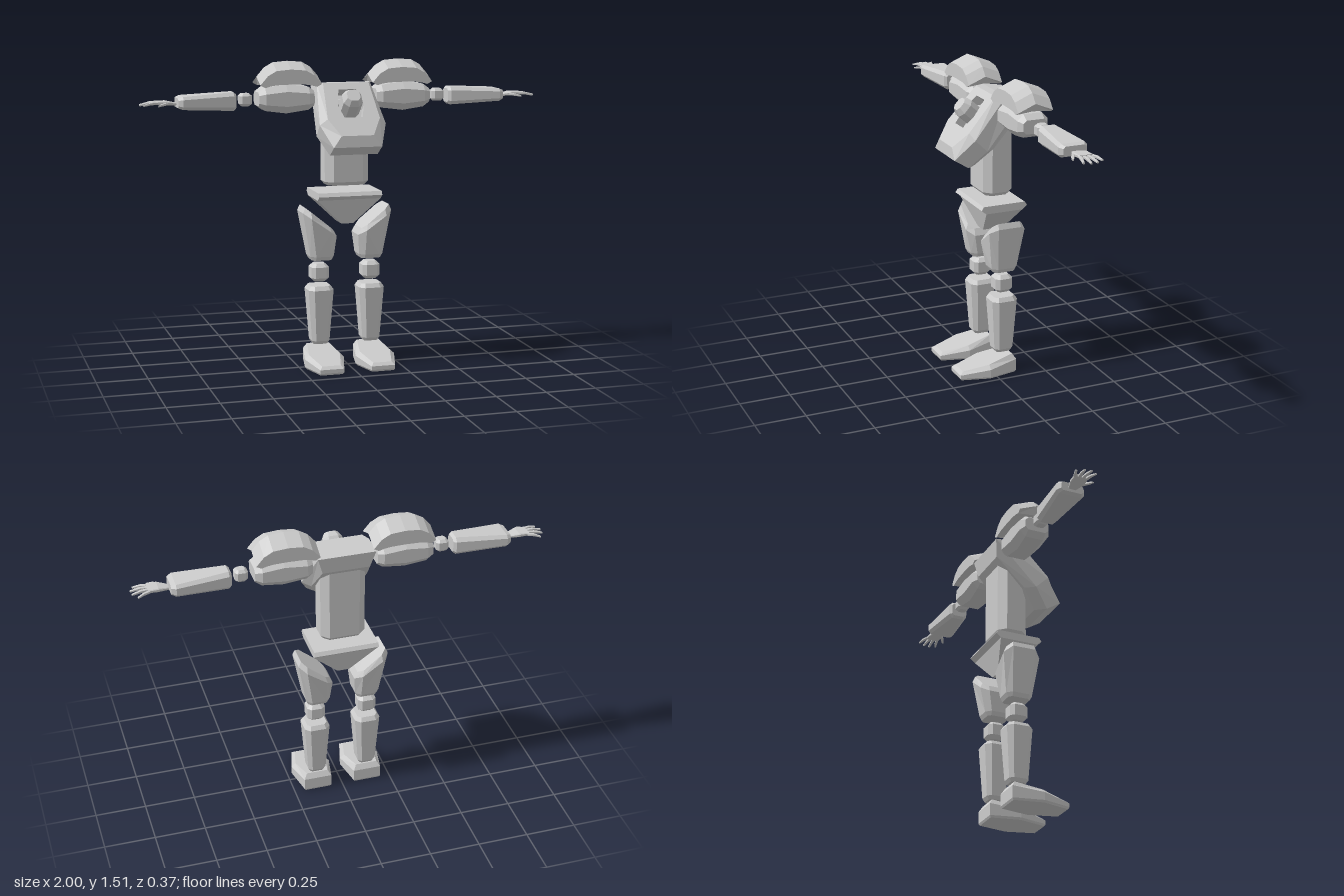
import * as THREE from 'three';

const material = new THREE.MeshStandardMaterial({ color: 0xcccccc, flatShading: true });

// Closed solid through rings of equal point count; s = -1 mirrors it across x.
function loft(name, rings, s = 1) {
  const R = rings.map(r => r.map(([x, y, z]) => new THREE.Vector3(x * s, y, z)));
  const n = R[0].length, last = R[R.length - 1], tris = [];
  for (let i = 0; i + 1 < R.length; i++) {
    for (let j = 0; j < n; j++) {
      const k = (j + 1) % n;
      tris.push([R[i][j], R[i + 1][j], R[i + 1][k]], [R[i][j], R[i + 1][k], R[i][k]]);
    }
  }
  // end caps fan out from the second point
  for (let j = 1; j < n - 1; j++) {
    const a = (1 + j) % n, b = (2 + j) % n;
    tris.push([R[0][1], R[0][a], R[0][b]], [last[1], last[b], last[a]]);
  }
  // face outwards
  const cross = new THREE.Vector3();
  const volume = tris.reduce((v, [a, b, c]) => v + a.dot(cross.crossVectors(b, c)), 0);
  if (volume < 0) tris.forEach(t => t.reverse());
  const geometry = new THREE.BufferGeometry().setFromPoints(tris.flat());
  geometry.computeVertexNormals();
  const mesh = new THREE.Mesh(geometry, material);
  mesh.name = name;
  return mesh;
}

// Rectangle with cut corners
function octagon(hu, hv, c) {
  return [[hu, hv - c], [hu - c, hv], [c - hu, hv], [-hu, hv - c],
    [-hu, c - hv], [c - hu, -hv], [hu - c, -hv], [hu, c - hv]];
}

// Upright block: sections are [y, x, z, halfX, halfZ, cut, rise across x]
const upright = (name, sections, s) => loft(name, sections.map(([y, x, z, hx, hz, c, rise = 0]) =>
  octagon(hx, hz, c).map(([u, v]) => [x + u, y + rise * u / hx, z + v])), s);

// Sideways block: sections are [x, y, z, halfY, halfZ, cut]
const sideways = (name, sections, s) => loft(name, sections.map(([x, y, z, hy, hz, c]) =>
  octagon(hy, hz, c).map(([u, v]) => [x, y + u, z + v])), s);

function joint(name, x, y, z, h, s) {
  const c = h * 0.4, i = h - c;
  return upright(name, [[y - h, x, z, i, i, c / 2], [y - i, x, z, h, h, c],
    [y + i, x, z, h, h, c], [y + h, x, z, i, i, c / 2]], s);
}

// Slanted chest with a pocket, and the small head standing in it
function addChest(group) {
  const N = [0.666, 0.746]; // y and z of the slanted face normal
  const ring = points => [
    ...points.map(([x, y, z]) => [x, y, z]),
    ...points.slice().reverse().map(([x, y, z]) => [-x, y, z])];
  const onFace = (x, y, depth = 0) =>
    [x, y - depth * N[0], (0.909 - N[0] * y) / N[1] - depth * N[1]];
  const hole = [[0.045, 1.37], [0.065, 1.3], [0.045, 1.245]];
  group.add(loft('chest', [
    ring(hole.map(([x, y]) => onFace(x, y, 0.05))),
    ring(hole.map(([x, y]) => onFace(x, y))),
    ring([[0.115, 1.4], [0.13, 1.24], [0.08, 1.165]].map(([x, y]) => onFace(x, y))),
    ring([[0.135, 1.4, -0.076], [0.165, 1.21, 0.094], [0.12, 1.11, 0.183]]),
    ring([[0.14, 1.385, -0.175], [0.165, 1.15, 0.032], [0.12, 1.065, 0.11]]),
    ring([[0.115, 1.3, -0.16], [0.13, 1.15, -0.016], [0.08, 1.065, 0.06]]),
  ]));
  const center = onFace(0, 1.305);
  group.add(loft('head', [[-0.06, 0.048], [0.04, 0.048], [0.07, 0.032]].map(([d, h]) =>
    octagon(h, h, h * 0.5).map(([u, v]) =>
      [u, center[1] + v * N[1] + d * N[0], center[2] - v * N[0] + d * N[1]]))));
}

function makeLeg(s) {
  const leg = new THREE.Group();
  leg.name = s > 0 ? 'leftLeg' : 'rightLeg';
  const z = -0.06;
  leg.add(upright('thigh', [
    [0.53, 0.125, z, 0.05, 0.055, 0.015],
    [0.55, 0.125, z, 0.06, 0.067, 0.025],
    [0.71, 0.14, z, 0.085, 0.094, 0.035, 0.06],
    [0.74, 0.143, z, 0.07, 0.08, 0.025, 0.057]], s));
  leg.add(joint('knee', 0.131, 0.465, z, 0.045, s));
  leg.add(upright('shin', [
    [0.105, 0.13, z, 0.035, 0.037, 0.01],
    [0.122, 0.13, z, 0.045, 0.049, 0.018],
    [0.38, 0.13, z, 0.064, 0.066, 0.025],
    [0.4, 0.13, z, 0.05, 0.052, 0.016]], s));

  // foot: a hexagon with its top sloping down to the toe
  const sole = [[0.07, -0.11], [0.1, 0.04], [0.06, 0.185],
    [-0.06, 0.185], [-0.1, 0.04], [-0.07, -0.11]];
  const footRing = (scale, heelY, toeY) => sole.map(([x, fz]) =>
    [0.13 + x * scale, heelY + (toeY - heelY) * (fz + 0.11) / 0.295, 0.037 + (fz - 0.037) * (scale + 1) / 2]);
  leg.add(loft('foot', [footRing(0.92, 0, 0), footRing(1, 0.01, 0.01),
    footRing(1, 0.07, 0.028), footRing(0.78, 0.096, 0.042)], s));
  return leg;
}

function makeArm(s) {
  const arm = new THREE.Group();
  arm.name = s > 0 ? 'leftArm' : 'rightArm';
  const z = -0.088;
  arm.add(sideways('upperArm', [
    [0.157, 1.328, z, 0.037, 0.06, 0.015],
    [0.185, 1.328, z, 0.056, 0.077, 0.03],
    [0.295, 1.328, z, 0.071, 0.077, 0.035],
    [0.4, 1.328, z, 0.056, 0.077, 0.03],
    [0.432, 1.328, z, 0.033, 0.06, 0.015]], s));

  // arched shoulder shell: [outer x, outer y, inner x, inner y]
  const arch = [[0.128, 1.435, 0.152, 1.395], [0.165, 1.478, 0.178, 1.414],
    [0.208, 1.502, 0.213, 1.426], [0.28, 1.508, 0.28, 1.43],
    [0.352, 1.502, 0.347, 1.426], [0.395, 1.478, 0.382, 1.414], [0.432, 1.435, 0.408, 1.395]];
  const drop = 0.04, front = 0, back = -0.177;
  arm.add(loft('shoulderPad', arch.map(([xo, yo, xi, yi]) => {
    const low = yi - 0.03 * (yi - 1.38) / 0.05;
    return [[xo, yo - drop * 0.9, front], [xo, yo, z], [xo, yo - drop * 0.9, back],
      [xi, Math.min(low, yo - drop), back], [xi, yi, z], [xi, Math.min(low, yo - drop), front]];
  }), s));

  arm.add(joint('elbow', 0.488, 1.325, -0.094, 0.031, s));
  arm.add(sideways('forearm', [
    [0.537, 1.32, -0.094, 0.034, 0.036, 0.01],
    [0.55, 1.32, -0.094, 0.045, 0.049, 0.018],
    [0.8, 1.32, -0.091, 0.031, 0.071, 0.014],
    [0.822, 1.32, -0.091, 0.023, 0.056, 0.01]], s));

  const hand = new THREE.Group();
  hand.name = 'hand';
  hand.add(sideways('palm', [
    [0.826, 1.314, -0.092, 0.006, 0.02, 0.003],
    [0.875, 1.321, -0.09, 0.009, 0.036, 0.004],
    [0.925, 1.322, -0.093, 0.007, 0.034, 0.003]], s));
  // four spread fingers, then the thumb
  [[-0.122, -0.146, 0.975], [-0.103, -0.112, 0.997], [-0.084, -0.08, 1], [-0.066, -0.05, 0.985]]
    .forEach(([z0, z1, tip]) => hand.add(sideways('finger', [
      [0.915, 1.321, z0, 0.006, 0.008, 0.002],
      [(0.915 + tip) / 2, 1.32, (z0 + z1) / 2, 0.006, 0.007, 0.002],
      [tip, 1.312, z1, 0.004, 0.005, 0.0015]], s)));
  hand.add(sideways('thumb', [
    [0.862, 1.319, -0.066, 0.006, 0.01, 0.002],
    [0.89, 1.316, -0.046, 0.006, 0.008, 0.002],
    [0.917, 1.31, -0.033, 0.004, 0.005, 0.0015]], s));
  arm.add(hand);
  return arm;
}

export function createModel() {
  const model = new THREE.Group();
  model.name = 'robot';
  const z = -0.06;
  model.add(upright('torso', [
    [0.9, 0, z, 0.095, 0.06, 0.025], [0.918, 0, z, 0.11, 0.076, 0.036],
    [1.3, 0, z, 0.11, 0.076, 0.036], [1.32, 0, z, 0.095, 0.06, 0.025]]));
  addChest(model);

  // pelvis: flat plate over a downward wedge
  const rect = (y, hx, hz) => [[hx, y, z + hz], [-hx, y, z + hz], [-hx, y, z - hz], [hx, y, z - hz]];
  model.add(loft('pelvis', [rect(0.71, 0.03, 0.055), rect(0.835, 0.16, 0.095),
    rect(0.855, 0.16, 0.12), rect(0.873, 0.16, 0.108)]));

  for (const s of [1, -1]) model.add(makeLeg(s), makeArm(s));
  return model;
}
